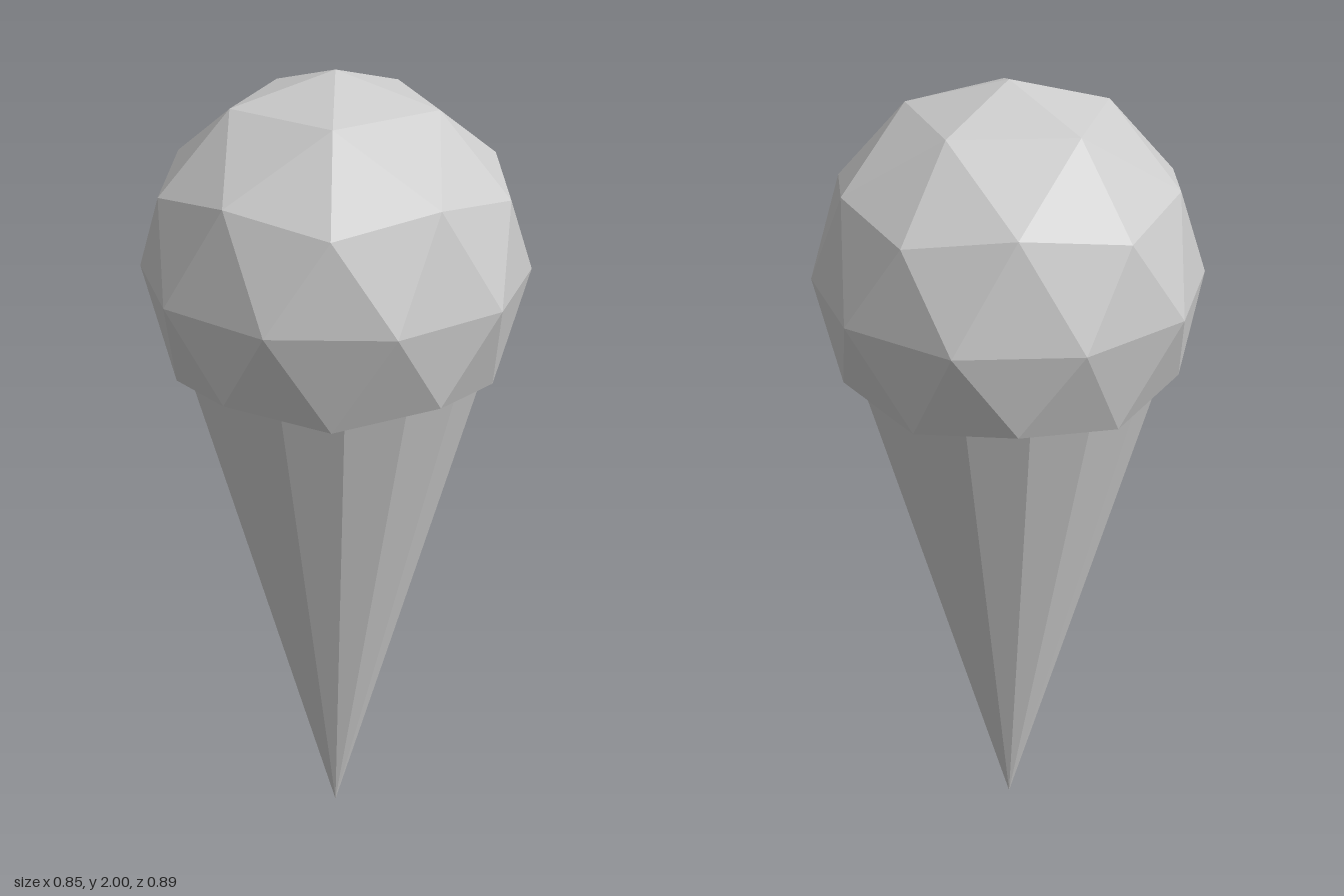
import * as THREE from 'three';

const RADIUS = 0.445;
const CENTRE_Y = 1.555;

// A ring of points on the scoop; radius and height are fractions of RADIUS
function ring(count, startDeg, profile) {
  return Array.from({ length: count }, (_, i) => {
    const a = THREE.MathUtils.degToRad(startDeg + (i * 360) / count);
    const [r, h] = profile[i % profile.length];
    return [Math.cos(a) * r * RADIUS, h * RADIUS, Math.sin(a) * r * RADIUS];
  });
}

// Faceted icosphere with its underside left open
function scoopGeometry() {
  const pole = [0, RADIUS, 0];
  const cap = ring(5, 0, [[0.5257, 0.8507]]);
  const upper = ring(10, 0, [[0.8944, 0.4472], [0.8507, 0.5257]]);
  const equator = ring(10, 18, [[1, 0]]);
  const lower = ring(10, 0, [[0.8507, -0.5257], [0.8944, -0.4472]]);
  const points = [];
  const tri = (a, b, c) => points.push(...a, ...b, ...c);

  for (let k = 0; k < 5; k++) {
    const n = (k + 1) % 5;
    const mid = upper[2 * k + 1];
    tri(pole, cap[n], cap[k]);
    tri(cap[k], mid, upper[2 * k]);
    tri(cap[k], cap[n], mid);
    tri(cap[n], upper[2 * n], mid);
  }
  for (let j = 0; j < 10; j++) {
    const n = (j + 1) % 10;
    tri(upper[j], upper[n], equator[j]);
    tri(upper[n], equator[n], equator[j]);
    tri(equator[j], lower[n], lower[j]);
    tri(equator[j], equator[n], lower[n]);
  }

  const geometry = new THREE.BufferGeometry();
  geometry.setAttribute('position', new THREE.Float32BufferAttribute(points, 3));
  geometry.computeVertexNormals();
  return geometry;
}

export function createModel() {
  const grey = new THREE.MeshStandardMaterial({
    color: 0xcccccc, flatShading: true, side: THREE.DoubleSide,
  });
  grey.name = 'light grey';

  const model = new THREE.Group();
  model.name = 'iceCreamCone';

  const scoop = new THREE.Mesh(scoopGeometry(), grey);
  scoop.name = 'scoop';
  scoop.position.y = CENTRE_Y;
  model.add(scoop);

  // Pointed wafer, its rim tucked just inside the scoop
  const height = 1.36;
  const wafer = new THREE.Mesh(new THREE.CylinderGeometry(0.36, 0, height, 16, 1), grey);
  wafer.name = 'wafer';
  wafer.position.y = height / 2;
  model.add(wafer);

  return model;
}
